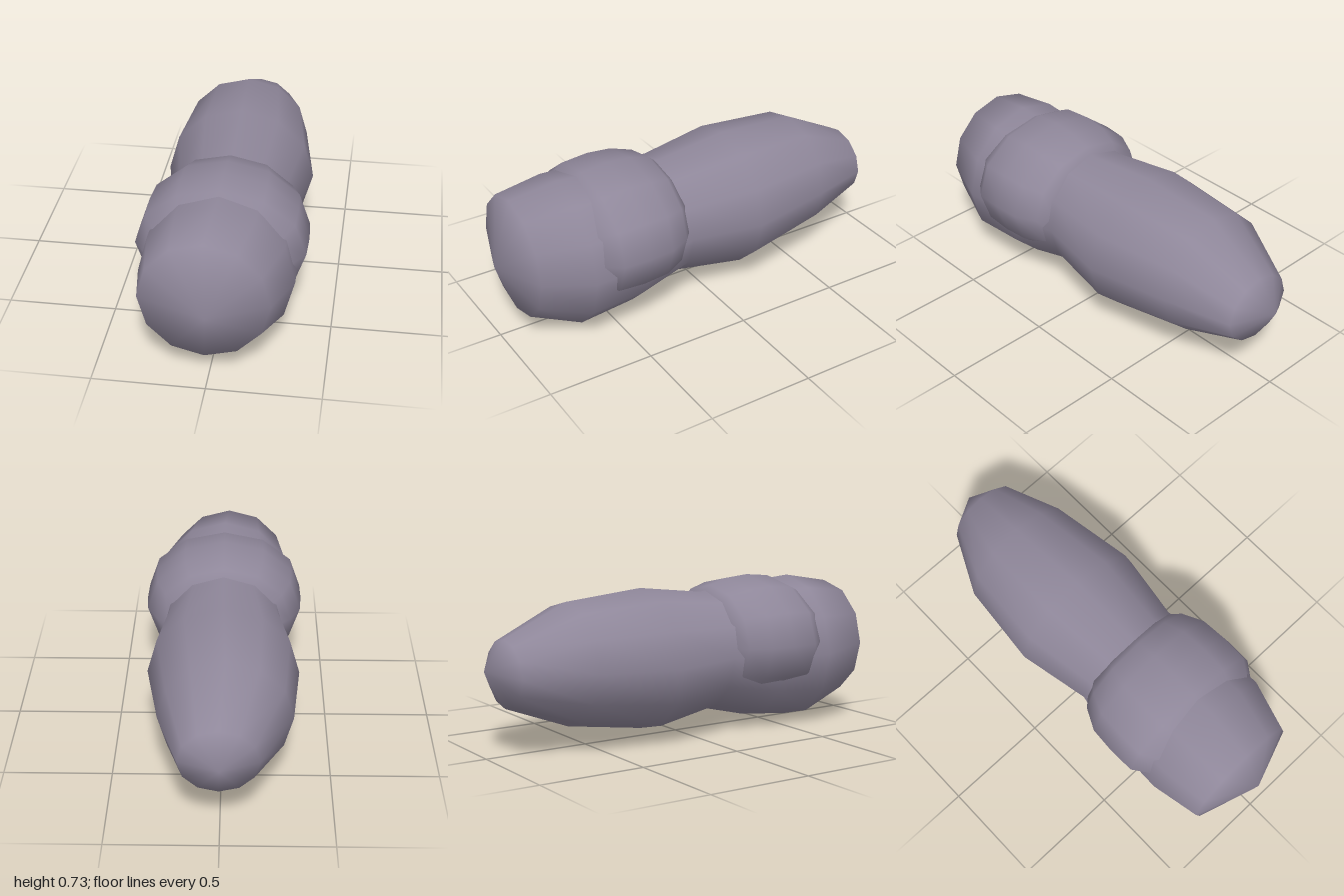
import * as THREE from 'three';

const SIDES = 12;

// Smooth skin over elliptical rings [z, centreX, centreY, radiusX, radiusY],
// listed front to back; the first and last entries are single points.
function loft(rings) {
  const pos = [], index = [];
  const last = rings.length - 1;
  rings.forEach(([z, cx, cy, rx, ry], i) => {
    if (i === 0 || i === last) {
      pos.push(cx, cy, z);
      return;
    }
    for (let j = 0; j < SIDES; j++) {
      const t = (j / SIDES) * Math.PI * 2;
      pos.push(cx + rx * Math.cos(t), cy + ry * Math.sin(t), z);
    }
  });
  const at = (i, j) => 1 + (i - 1) * SIDES + (j % SIDES);
  const tail = pos.length / 3 - 1;
  for (let j = 0; j < SIDES; j++) {
    index.push(0, at(1, j), at(1, j + 1));
    for (let i = 1; i < last - 1; i++) {
      const a = at(i, j), b = at(i, j + 1), c = at(i + 1, j), d = at(i + 1, j + 1);
      index.push(a, c, b, b, c, d);
    }
    index.push(at(last - 1, j + 1), at(last - 1, j), tail);
  }
  const geo = new THREE.BufferGeometry();
  geo.setAttribute('position', new THREE.Float32BufferAttribute(pos, 3));
  geo.setIndex(index);
  geo.computeVertexNormals();
  return geo;
}

export function createModel() {
  const group = new THREE.Group();
  const skin = new THREE.MeshStandardMaterial({ color: 0x8f879a });

  const add = (name, rings) => {
    const mesh = new THREE.Mesh(loft(rings), skin);
    mesh.name = name;
    group.add(mesh);
  };

  // Long body: blunt front end, slight waist, tapered rear
  add('body', [
    [1.0, 0, 0.37, 0, 0],
    [0.9, -0.02, 0.385, 0.285, 0.285],
    [0.67, 0, 0.355, 0.345, 0.355],
    [0.4, 0, 0.36, 0.34, 0.33],
    [0.14, 0, 0.378, 0.29, 0.283],
    [-0.2, -0.005, 0.37, 0.352, 0.333],
    [-0.6, -0.02, 0.385, 0.3, 0.285],
    [-0.9, 0.005, 0.368, 0.177, 0.155],
    [-1.0, 0, 0.39, 0, 0],
  ]);

  // Saddle-like swelling wrapped over the top and sides
  add('saddle', [
    [0.75, 0, 0.42, 0, 0],
    [0.66, 0, 0.42, 0.3, 0.24],
    [0.55, 0, 0.42, 0.38, 0.295],
    [0.42, 0, 0.42, 0.383, 0.308],
    [0.3, 0, 0.42, 0.375, 0.298],
    [0.2, 0, 0.42, 0.325, 0.27],
    [0.15, 0, 0.42, 0.27, 0.225],
    [0.08, 0, 0.42, 0, 0],
  ]);

  return group;
}
